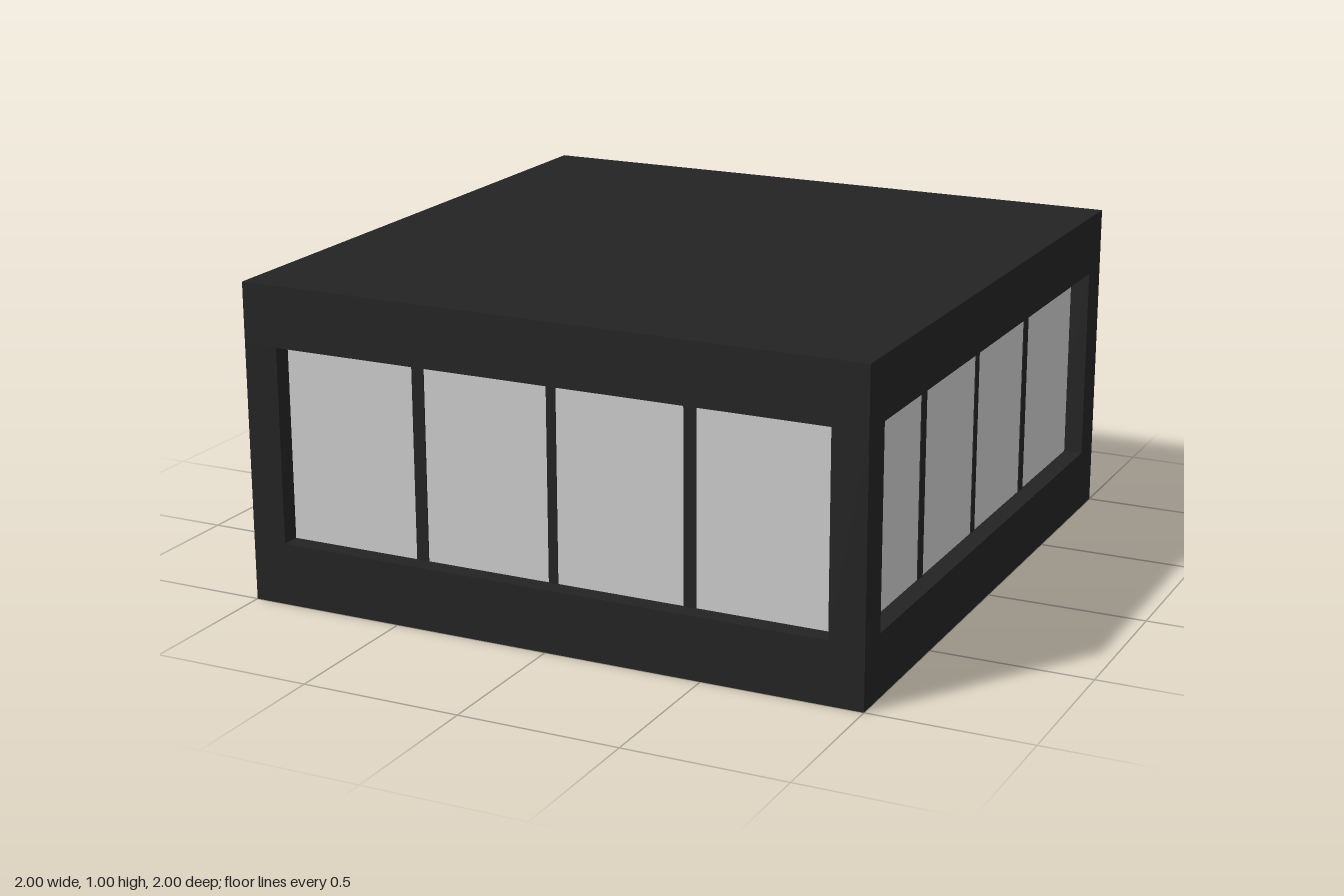
import * as THREE from 'three';

const SILL = 0.195, HEAD = 0.81, TOP = 1.0, POST = 0.11;
const WIN_H = HEAD - SILL, WIN_Y = (HEAD + SILL) / 2;
const GLASS_Z = 0.94; // outer plane of the recessed panes

export function createModel() {
  const model = new THREE.Group();
  model.name = 'pavilion';
  const dark = new THREE.MeshStandardMaterial({ color: 0x232323 });
  const grey = new THREE.MeshStandardMaterial({ color: 0xcccccc });

  const addBox = (parent, name, material, size, position) => {
    const mesh = new THREE.Mesh(new THREE.BoxGeometry(...size), material);
    mesh.name = name;
    mesh.position.set(...position);
    parent.add(mesh);
  };

  // Base and roof slabs
  addBox(model, 'base', dark, [2, SILL, 2], [0, SILL / 2, 0]);
  addBox(model, 'roof', dark, [2, TOP - HEAD, 2], [0, (TOP + HEAD) / 2, 0]);

  // Corner posts
  const p = 1 - POST / 2;
  for (const x of [-p, p])
    for (const z of [-p, p])
      addBox(model, 'cornerPost', dark, [POST, WIN_H, POST], [x, WIN_Y, z]);

  // One recessed window band per side
  const panes = [[-0.89, -0.46], [-0.42, -0.015], [0.015, 0.42], [0.46, 0.89]];
  ['front', 'left', 'back', 'right'].forEach((side, i) => {
    const band = new THREE.Group();
    band.name = side + 'Windows';
    band.rotation.y = i * Math.PI / 2;
    panes.forEach(([a, b], k) => {
      addBox(band, 'windowPane', grey, [b - a, WIN_H, 0.02], [(a + b) / 2, WIN_Y, GLASS_Z - 0.01]);
      if (k === 0) return;
      // Mullion filling the gap to the previous pane
      const start = panes[k - 1][1];
      addBox(band, 'mullion', dark, [a - start, WIN_H, 0.03], [(a + start) / 2, WIN_Y, GLASS_Z - 0.012]);
    });
    model.add(band);
  });

  return model;
}
